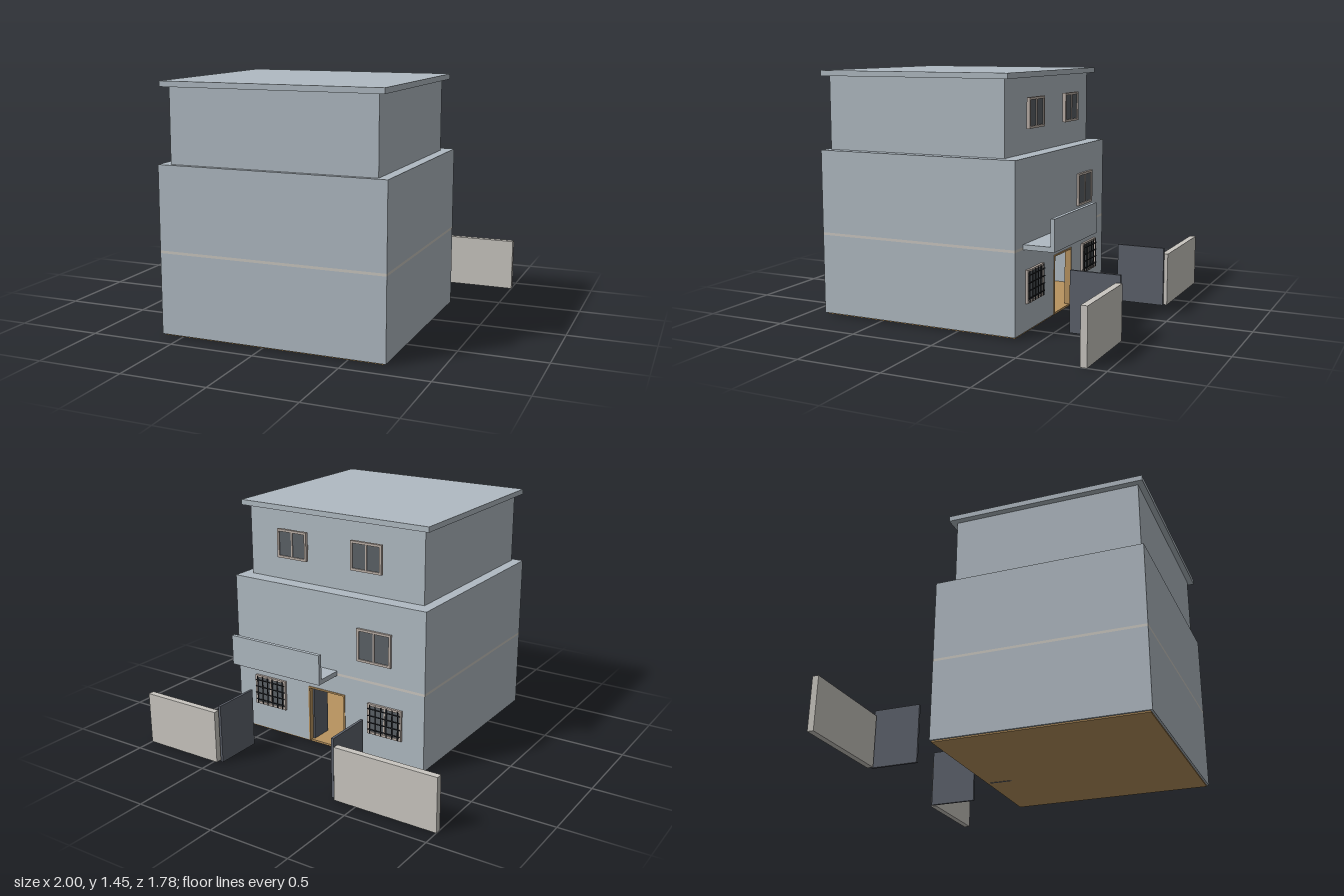
import * as THREE from 'three';

const mat = (name, color, extra = {}) => {
  const m = new THREE.MeshStandardMaterial({ color, ...extra });
  m.name = name;
  return m;
};

export function createModel() {
  const wall = mat('blue grey plaster', 0xb0bac2);
  const stone = mat('pale stone', 0xc9c6c0);
  const metal = mat('dark gate metal', 0x5c616b);
  const wood = mat('tan wood', 0xb8935f);
  const frameMat = mat('window frame', 0xb9aea6);
  const glass = mat('window glass', 0x5a6066);
  const iron = mat('black iron', 0x24262a);

  const house = new THREE.Group();
  house.name = 'house';

  // Box given by its minimum and maximum along each axis
  const box = (name, m, [x0, x1], [y0, y1], [z0, z1], parent = house) => {
    const mesh = new THREE.Mesh(new THREE.BoxGeometry(x1 - x0, y1 - y0, z1 - z0), m);
    mesh.position.set((x0 + x1) / 2, (y0 + y1) / 2, (z0 + z1) / 2);
    mesh.name = name;
    parent.add(mesh);
    return mesh;
  };

  const X = [-0.62, 0.72], Z = [-0.365, 0.885], t = 0.03;
  const ground = [0.012, 0.483];
  const door = { x0: -0.08, x1: 0.185, top: 0.37 };

  // Hollow ground floor
  box('groundFloorBoards', wood, [X[0] + 0.012, X[1] - 0.012], [0.004, 0.016], [Z[0] + 0.005, Z[1] - 0.012]);
  box('groundFrontWall', wall, X, ground, [Z[1] - t, Z[1]]);
  box('groundRightWall', wall, [X[0], X[0] + t], ground, [Z[0] + t, Z[1] - t]);
  box('groundLeftWall', wall, [X[1] - t, X[1]], ground, [Z[0] + t, Z[1] - t]);

  // Back wall with the doorway cut out
  const outline = new THREE.Shape([
    [X[0], ground[0]], [door.x0, ground[0]], [door.x0, door.top], [door.x1, door.top],
    [door.x1, ground[0]], [X[1], ground[0]], [X[1], ground[1]], [X[0], ground[1]],
  ].map(p => new THREE.Vector2(...p)));
  const backWall = new THREE.Mesh(new THREE.ExtrudeGeometry(outline, { depth: t, bevelEnabled: false }), wall);
  backWall.position.z = Z[0];
  backWall.name = 'groundBackWall';
  house.add(backWall);

  // Upper floors and roof
  box('floorSlab', stone, X, [0.483, 0.498], Z);
  box('secondFloor', wall, X, [0.498, 0.985], Z);
  box('thirdFloor', wall, [-0.555, 0.66], [0.985, 1.415], [-0.273, 0.855]);
  box('roofSlab', wall, [-0.595, 0.7], [1.415, 1.447], [-0.31, 0.89]);

  // Balcony
  box('balconyFloor', wall, [-0.025, 0.615], [0.483, 0.512], [-0.548, Z[0]]);
  box('balconyParapet', wall, [-0.025, 0.615], [0.483, 0.667], [-0.55, -0.526]);

  // Door frame and the leaf, open inwards
  const fz = [Z[0] - 0.005, Z[0] + t + 0.005], j = 0.01;
  box('doorJambRight', wood, [door.x0, door.x0 + j], [0.012, door.top], fz);
  box('doorJambLeft', wood, [door.x1 - j, door.x1], [0.012, door.top], fz);
  box('doorHead', wood, [door.x0 + j, door.x1 - j], [door.top - j, door.top], fz);
  box('doorLeaf', metal, [0.163, 0.174], [0.002, 0.358], [-0.34, -0.2]);

  // Two-pane windows on the back, some with iron grilles
  const addWindow = (name, x0, x1, y0, y1, zOut, depth, barred) => {
    const g = new THREE.Group();
    g.name = name;
    house.add(g);
    const b = 0.014, z = [zOut, zOut + depth], mid = (x0 + x1) / 2;
    box('sill', frameMat, [x0, x1], [y0, y0 + b], z, g);
    box('head', frameMat, [x0, x1], [y1 - b, y1], z, g);
    for (const x of [x0, x1 - b]) box('sideFrame', frameMat, [x, x + b], [y0 + b, y1 - b], z, g);
    box('mullion', frameMat, [mid - 0.005, mid + 0.005], [y0 + b, y1 - b], [zOut + 0.002, zOut + depth], g);
    box('pane', glass, [x0 + b, x1 - b], [y0 + b, y1 - b], [zOut + 0.007, zOut + depth - 0.002], g);
    if (!barred) return;
    const r = 0.0025, zb = [zOut - 0.007, zOut - 0.002];
    for (let i = 0; i < 6; i++) {
      const x = x0 + 0.02 + (x1 - x0 - 0.04) * i / 5;
      box('uprightBar', iron, [x - r, x + r], [y0 + 0.005, y1 - 0.005], zb, g);
    }
    for (let i = 0; i < 4; i++) {
      const y = y0 + 0.03 + (y1 - y0 - 0.06) * i / 3;
      box('crossBar', iron, [x0 + 0.005, x1 - 0.005], [y - r, y + r], zb, g);
    }
  };
  addWindow('thirdFloorWindowRight', -0.3, -0.09, 1.13, 1.305, -0.32, 0.02, false);
  addWindow('thirdFloorWindowLeft', 0.22, 0.43, 1.13, 1.305, -0.32, 0.02, false);
  addWindow('secondFloorWindow', -0.4, -0.17, 0.61, 0.81, -0.379, 0.016, false);
  addWindow('groundWindowRight', -0.475, -0.245, 0.172, 0.362, -0.38, 0.017, true);
  addWindow('groundWindowLeft', 0.355, 0.585, 0.172, 0.362, -0.38, 0.017, true);

  // Yard wall and open gate leaves
  box('yardWallRight', stone, [-1, -0.36], [0, 0.32], [-0.893, -0.855]);
  box('yardWallLeft', stone, [0.48, 1], [0, 0.32], [-0.893, -0.855]);
  for (const x of [-0.347, 0.448]) box('gateLeaf', metal, [x, x + 0.016], [0.002, 0.36], [-0.875, -0.58]);

  return house;
}
